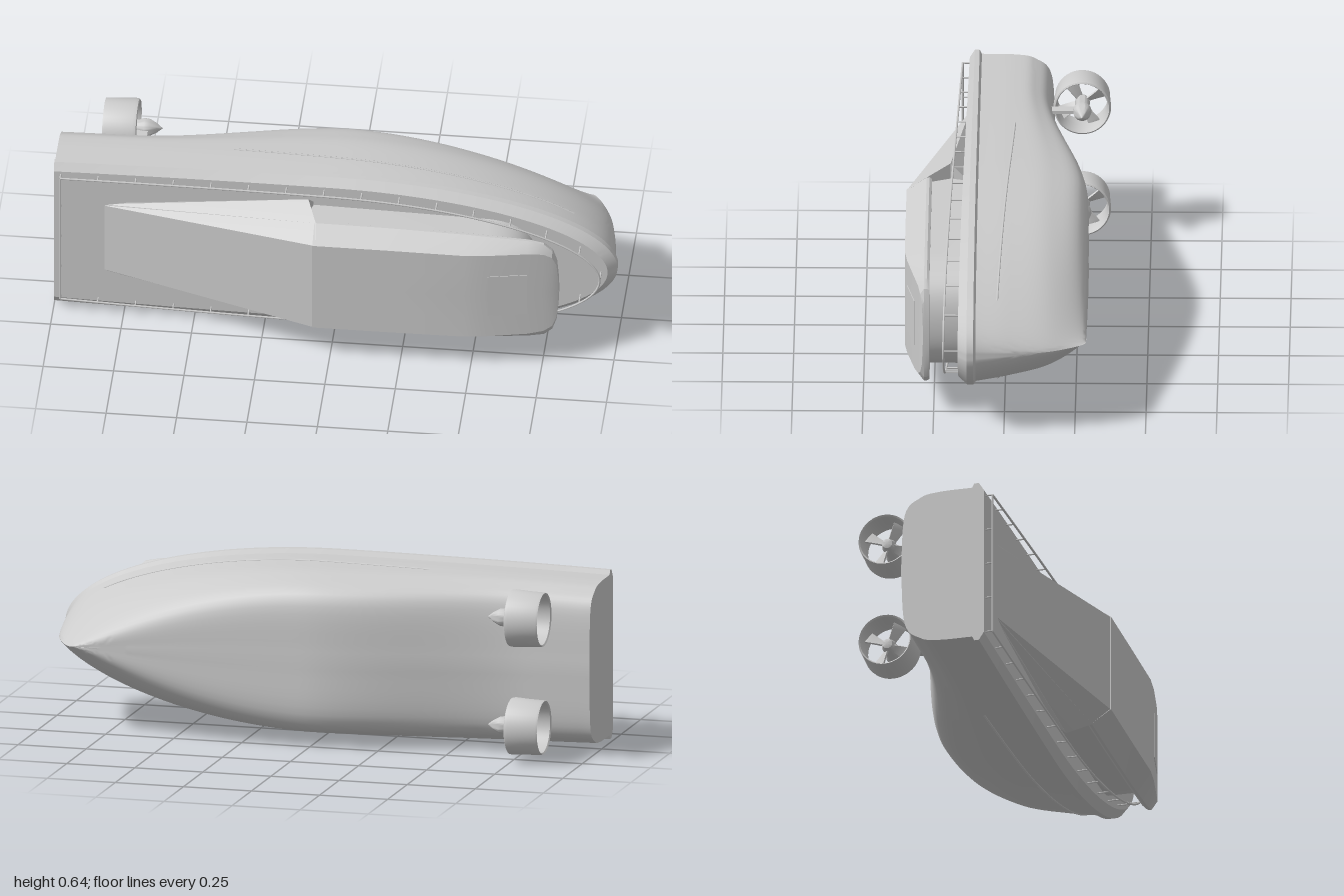
import * as THREE from 'three';
import { toCreasedNormals } from 'three/addons/utils/BufferGeometryUtils.js';

const MID = 0.318; // height of the boat's centre plane (it lies on its side)
const mat = new THREE.MeshStandardMaterial({ color: 0xcccccc });

function add(parent, name, geometry) {
  const mesh = new THREE.Mesh(geometry, mat);
  mesh.name = name;
  parent.add(mesh);
  return mesh;
}

// Skins stations of [x, halfWidth, z], ordered from top to keel, and mirrors them.
function loft(stations, crease = 0.5) {
  const pos = [];
  for (const side of [1, -1]) {
    const put = (p) => pos.push(p[0], side * p[1], p[2]);
    const tri = (a, b, c) => (side > 0 ? [a, b, c] : [a, c, b]).forEach(put);
    for (let i = 0; i + 1 < stations.length; i++) {
      for (let j = 0; j + 1 < stations[i].length; j++) {
        const a = stations[i][j], b = stations[i + 1][j];
        const c = stations[i + 1][j + 1], d = stations[i][j + 1];
        tri(a, b, c);
        tri(a, c, d);
      }
    }
  }
  const g = new THREE.BufferGeometry();
  g.setAttribute('position', new THREE.Float32BufferAttribute(pos, 3));
  return toCreasedNormals(g, crease);
}

const flat = (station) => station.map(([x, , z]) => [x, 0, z]);

// Plan taper: nearly parallel aft, elliptical towards the bow
const taper = (x, p) => (x > 0 ? Math.pow(Math.max(0, 1 - x * x), p) : 1 - 0.04 * x * x);
// Shifts a nominal x so that each row ends on the raked stem
const rowX = (x, end) => -1 + (x + 1) * (end + 1) / 2;
const keelZ = (x) => -0.16 - 0.13 * THREE.MathUtils.smoothstep(x, -0.75, 0.1);

// Smooth half section from gunwale (t = 0) to keel (t = 1)
function hullSection(x) {
  const k = keelZ(x);
  const rows = [
    [0.99, 0.302, 0.5, 0.1],
    [0.977, 0.3, 0.6, -0.02],
    [0.945, 0.284, 0.75, 0.56 * k],
    [0.885, 0.22, 1.1, k + 0.014],
    [0.84, 0, 1, k],
  ];
  return new THREE.CatmullRomCurve3(rows.map(([end, w, p, z]) =>
    new THREE.Vector3(rowX(x, end), w * taper(x, p), z)), false, 'catmullrom', 0.5);
}

function hullStation(x) {
  const f = taper(x, 0.5), sheer = 0.01 * (x + 1);
  const s = [
    [rowX(x, 0.96), 0, 0.143 + sheer],
    [rowX(x, 0.968), 0.288 * f, 0.143 + sheer],
    [rowX(x, 1), 0.318 * f, 0.125 + sheer / 3],
    [rowX(x, 1), 0.318 * f, 0.108],
  ];
  const c = hullSection(x);
  for (let j = 0; j <= 28; j++) {
    const p = c.getPoint(j / 28);
    s.push([p.x, Math.max(0, p.y), p.z]);
  }
  return s;
}

function buildHull(boat) {
  const stations = [];
  for (let i = 0; i <= 72; i++) stations.push(hullStation(-1 + 2 * Math.sin((i / 72) * Math.PI / 2)));
  stations.unshift(flat(stations[0])); // transom
  add(boat, 'hull', loft(stations));

  // Spray strakes along both sides
  for (const side of [1, -1]) {
    const pts = [];
    for (let i = 0; i <= 24; i++) {
      const p = hullSection(-0.37 + 1.22 * i / 24).getPoint(0.26 - 0.1 * i / 24);
      pts.push(new THREE.Vector3(p.x, p.y * side, p.z));
    }
    add(boat, 'sprayStrake', new THREE.TubeGeometry(new THREE.CatmullRomCurve3(pts), 60, 0.004, 6));
  }
}

function buildCabin(boat) {
  // Long aft fairing that rises from the deck to the roof
  const aft = [[-0.83, 0, 0.142], [-0.83, 0.14, 0.142], [-0.83, 0.143, 0.141], [-0.83, 0.147, 0.14], [-0.83, 0.13, 0.13]];
  const fore = [[-0.05, 0, 0.355], [-0.05, 0.18, 0.355], [-0.055, 0.228, 0.285], [-0.09, 0.268, 0.2], [-0.07, 0.2, 0.13]];
  add(boat, 'aftFairing', loft([aft, fore, flat(fore)], 0.2));

  // Overhanging roof: [x, roof half-width, roof z, brim half-width]
  const roof = [
    [-0.06, 0.18, 0.355, 0.228], [0.2, 0.18, 0.355, 0.226], [0.48, 0.178, 0.355, 0.219],
    [0.56, 0.177, 0.345, 0.215], [0.7, 0.175, 0.318, 0.208], [0.755, 0.168, 0.305, 0.197],
    [0.785, 0.15, 0.297, 0.17], [0.8, 0.115, 0.291, 0.125], [0.806, 0.05, 0.288, 0.055], [0.808, 0, 0.287, 0],
  ].map(([x, w, z, b]) => [[x, 0, z], [x, w, z], [x, b, 0.284], [x, b, 0.274], [x, b * 0.97, 0.265], [x, 0, 0.265]]);
  roof.unshift(flat(roof[0]));
  add(boat, 'roof', loft(roof, 0.4));

  // Recessed walls under the brim
  const plan = new THREE.Shape();
  plan.moveTo(-0.12, -0.21);
  plan.lineTo(0.55, -0.2);
  plan.quadraticCurveTo(0.73, -0.19, 0.73, 0);
  plan.quadraticCurveTo(0.73, 0.19, 0.55, 0.2);
  plan.lineTo(-0.12, 0.21);
  const walls = new THREE.ExtrudeGeometry(plan, { depth: 0.14, bevelEnabled: false, curveSegments: 16 });
  add(boat, 'cabinWalls', toCreasedNormals(walls, 0.5)).position.z = 0.13;

  // Hatch on the sloping front of the roof
  const hatch = add(boat, 'roofHatch', new THREE.BoxGeometry(0.14, 0.17, 0.004));
  hatch.position.set(0.63, 0, 0.332);
  hatch.rotation.y = 0.19;
}

function buildRailing(boat) {
  const top = (x) => 0.168 + 0.023 * (x + 1);
  const railPoint = (x, side) => new THREE.Vector3(rowX(x, 0.945) + 0.025 * (1 - x) / 2, side * 0.276 * taper(x, 0.5), top(x));
  const pts = [];
  for (let i = 0; i <= 80; i++) {
    const a = -1 + i / 40;
    const x = -1 + 2 * Math.sin((1 - Math.abs(a)) * Math.PI / 2);
    pts.push(railPoint(x, a < 0 ? 1 : -1));
  }
  const curve = new THREE.CatmullRomCurve3(pts);
  add(boat, 'handrail', new THREE.TubeGeometry(curve, 200, 0.004, 6));
  const sternRail = new THREE.LineCurve3(pts[0], pts[80]);
  add(boat, 'sternRail', new THREE.TubeGeometry(sternRail, 1, 0.004, 6));
  const post = (p) => {
    const h = p.z - 0.135;
    const m = add(boat, 'railPost', new THREE.CylinderGeometry(0.003, 0.003, h, 6).rotateX(Math.PI / 2));
    m.position.set(p.x, p.y, p.z - h / 2);
  };
  for (let i = 0; i <= 30; i++) post(curve.getPointAt(i / 30));
  for (let i = 1; i < 4; i++) post(sternRail.getPoint(i / 4));
}

function buildThruster(boat, side) {
  const t = new THREE.Group();
  t.name = 'thruster';
  t.position.set(-0.8, side * 0.195, -0.257);
  boat.add(t);
  const lathe = (profile) => toCreasedNormals(new THREE.LatheGeometry(
    profile.map(([r, y]) => new THREE.Vector2(r, y)), 40).rotateZ(-Math.PI / 2), 0.7);

  add(t, 'nozzle', lathe([[0.09, -0.058], [0.095, -0.062], [0.097, -0.055], [0.099, 0], [0.102, 0.045],
    [0.1, 0.057], [0.095, 0.06], [0.09, 0.05], [0.087, 0], [0.09, -0.058]]));
  add(t, 'hub', lathe([[0, -0.03], [0.018, -0.025], [0.026, 0], [0.026, 0.06], [0.033, 0.08], [0.03, 0.1], [0.016, 0.125], [0, 0.145]]));

  // Propeller blades, widening outwards and twisted
  for (let i = 0; i < 4; i++) {
    const g = new THREE.BoxGeometry(0.006, 0.072, 0.045, 1, 6, 1);
    const p = g.attributes.position;
    for (let k = 0; k < p.count; k++) {
      const f = p.getY(k) / 0.072 + 0.5, a = 0.9 - 0.5 * f, w = 0.6 + 0.5 * f;
      const x = p.getX(k), z = p.getZ(k) * w;
      p.setXYZ(k, x * Math.cos(a) + z * Math.sin(a), p.getY(k) + 0.05, z * Math.cos(a) - x * Math.sin(a));
    }
    g.rotateX(i * Math.PI / 2 + 0.5);
    add(t, 'propellerBlade', toCreasedNormals(g, 0.6));
  }
  // Strut up to the hull
  add(t, 'strut', new THREE.BoxGeometry(0.04, 0.012, 0.12)).position.set(0.075, 0, 0.07);
}

export function createModel() {
  const model = new THREE.Group();
  model.name = 'boat';
  const boat = new THREE.Group();
  boat.name = 'boatBody';
  boat.position.y = MID;
  model.add(boat);
  buildHull(boat);
  buildCabin(boat);
  buildRailing(boat);
  for (const side of [1, -1]) buildThruster(boat, side);
  return model;
}
